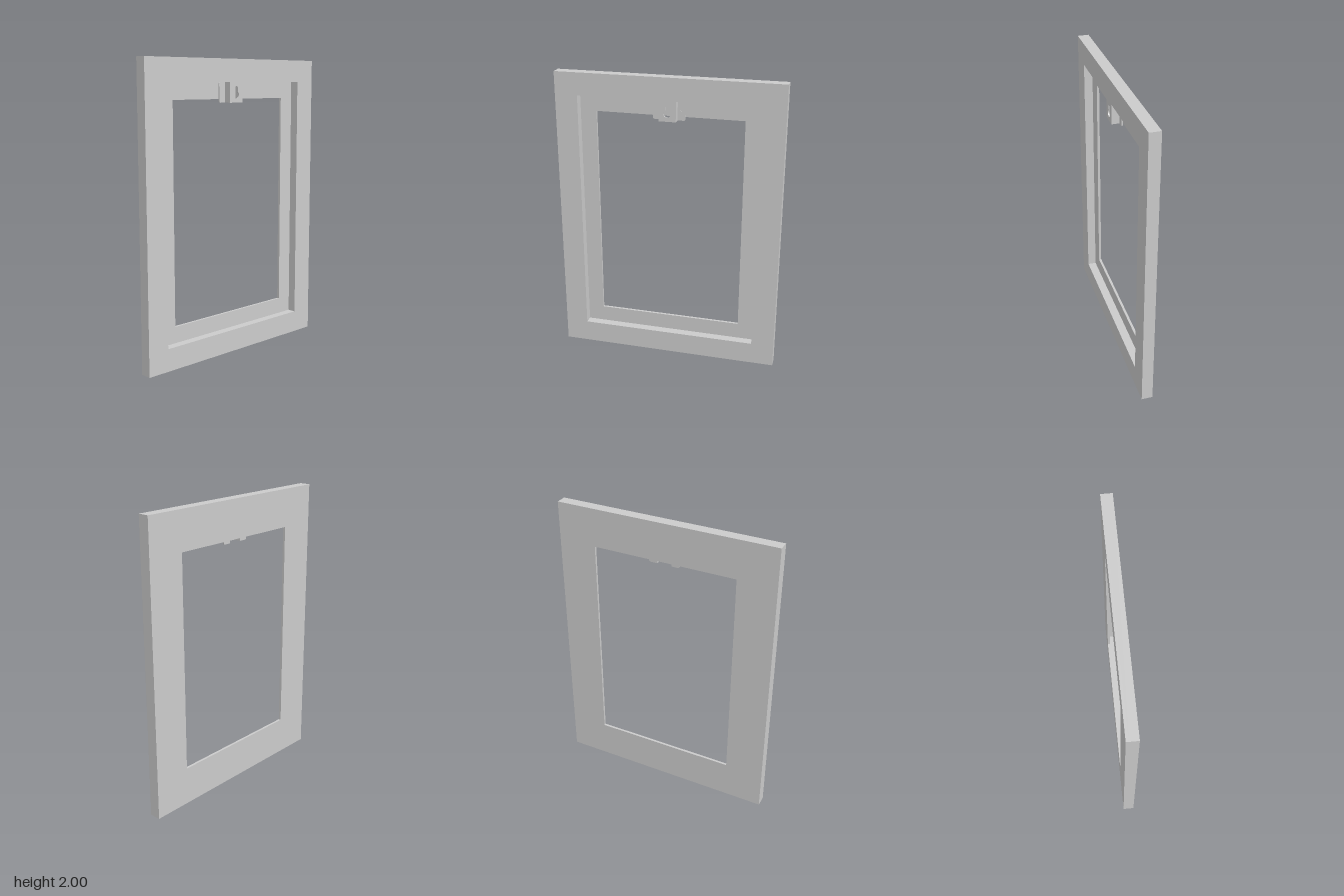
import * as THREE from 'three';

const material = new THREE.MeshStandardMaterial({ color: 0xcccccc });

// Adds a flat plate extruded between two depths
function addPlate(parent, name, shape, zBack, zFront) {
  const geometry = new THREE.ExtrudeGeometry(shape, {
    depth: zFront - zBack, bevelEnabled: false, curveSegments: 16,
  });
  geometry.translate(0, 0, zBack);
  const mesh = new THREE.Mesh(geometry, material);
  mesh.name = name;
  parent.add(mesh);
}

function rectangle(PathType, halfWidth, bottom, top) {
  return new PathType([
    new THREE.Vector2(-halfWidth, bottom), new THREE.Vector2(halfWidth, bottom),
    new THREE.Vector2(halfWidth, top), new THREE.Vector2(-halfWidth, top),
  ]);
}

export function createModel() {
  const model = new THREE.Group();
  model.name = 'pictureFrame';
  const front = 0.038, back = -0.038, floor = -0.021;

  // Deep outer border with the recess cut through it
  const border = rectangle(THREE.Shape, 0.765, 0, 2);
  border.holes.push(rectangle(THREE.Path, 0.61, 0.152, 1.848));
  addPlate(model, 'frameBorder', border, floor, front);

  // Thin rear lip around the opening
  const lip = rectangle(THREE.Shape, 0.765, 0, 2);
  lip.holes.push(rectangle(THREE.Path, 0.5, 0.263, 1.737));
  addPlate(model, 'rearLip', lip, back, floor);

  // Hat-shaped hanger bracket
  const hanger = new THREE.Group();
  hanger.name = 'hangerBracket';
  model.add(hanger);
  const bottom = 1.713, top = 1.848, t = 0.008;
  const inner = 0.05, outer = 0.108, r = 0.012;

  // Raised plate with a keyhole: round entry and a narrow round-topped slot
  const plate = rectangle(THREE.Shape, inner + t, bottom, top);
  const keyhole = new THREE.Path();
  const angle = Math.asin(0.013 / 0.024);
  keyhole.absarc(0, 1.764, 0.024, Math.PI / 2 + angle, Math.PI * 2.5 - angle, false);
  keyhole.absarc(0, 1.808, 0.013, 0, Math.PI, false);
  keyhole.closePath();
  plate.holes.push(keyhole);
  addPlate(hanger, 'keyholePlate', plate, front - t, front);

  for (const side of [-1, 1]) {
    const label = side > 0 ? 'left' : 'right';

    // Web joining the raised plate to the flange
    const web = new THREE.Mesh(
      new THREE.BoxGeometry(t, top - bottom, front - t - floor), material);
    web.position.set(side * (inner + t / 2), (top + bottom) / 2, (front - t + floor) / 2);
    web.name = label + 'Web';
    hanger.add(web);

    // Screw flange with rounded outer corners
    const flange = new THREE.Shape();
    flange.moveTo(side * (inner + t), bottom);
    flange.lineTo(side * (outer - r), bottom);
    flange.quadraticCurveTo(side * outer, bottom, side * outer, bottom + r);
    flange.lineTo(side * outer, top - r);
    flange.quadraticCurveTo(side * outer, top, side * (outer - r), top);
    flange.lineTo(side * (inner + t), top);
    flange.closePath();
    const screwHole = new THREE.Path();
    screwHole.absarc(side * 0.084, 1.78, 0.007, 0, Math.PI * 2, true);
    flange.holes.push(screwHole);
    addPlate(hanger, label + 'Flange', flange, floor, floor + t);
  }
  return model;
}
